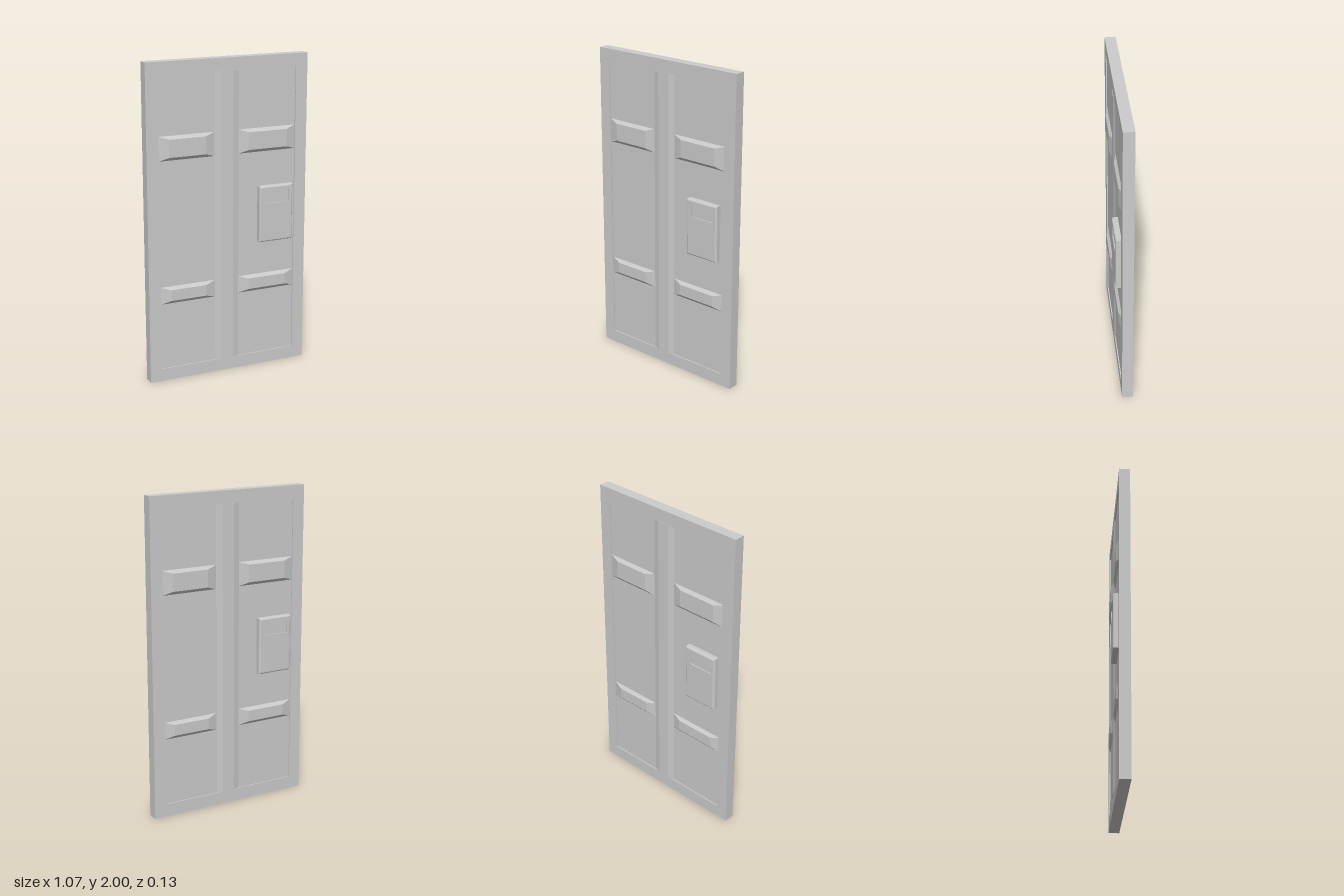
import * as THREE from 'three';

const material = new THREE.MeshStandardMaterial({ color: 0xcccccc });

// Skin through rectangles [x0, x1, y0, y1, z], capped at both ends, with flat faces.
function rectLoft(name, sections) {
  const corners = sections.map(([x0, x1, y0, y1, z]) => [
    [x0, y0, z], [x1, y0, z], [x1, y1, z], [x0, y1, z],
  ]);
  const pos = [];
  const quad = (a, b, c, d) => pos.push(...a, ...b, ...c, ...a, ...c, ...d);
  const first = corners[0];
  const last = corners[corners.length - 1];
  quad(first[3], first[2], first[1], first[0]);
  for (let s = 0; s < corners.length - 1; s++) {
    for (let i = 0; i < 4; i++) {
      const j = (i + 1) % 4;
      quad(corners[s][i], corners[s][j], corners[s + 1][j], corners[s + 1][i]);
    }
  }
  quad(last[0], last[1], last[2], last[3]);
  const geometry = new THREE.BufferGeometry();
  geometry.setAttribute('position', new THREE.Float32BufferAttribute(pos, 3));
  geometry.computeVertexNormals();
  const mesh = new THREE.Mesh(geometry, material);
  mesh.name = name;
  return mesh;
}

const FACE = 0.034;   // frame surface
const PANEL = 0.027;  // sunken panel surface

// Raised bar with sloped edges
function bar(name, x0, x1, y0, y1) {
  const dx = 0.063, dy = 0.02;
  return rectLoft(name, [
    [x0, x1, y0, y1, PANEL - 0.005],
    [x0, x1, y0, y1, PANEL],
    [x0 + dx, x1 - dx, y0 + dy, y1 - dy, 0.044],
  ]);
}

// Lock box with rounded front edges and a shallow window
function lockBox() {
  const [x0, x1, y0, y1, top, r] = [0.2, 0.43, 0.83, 1.19, 0.064, 0.011];
  const sections = [[x0, x1, y0, y1, PANEL - 0.005]];
  for (let i = 0; i <= 4; i++) {
    const a = (i / 4) * Math.PI / 2;
    const d = r * (1 - Math.cos(a));
    sections.push([x0 + d, x1 - d, y0 + d, y1 - d, top - r + r * Math.sin(a)]);
  }
  const hole = [0.235, 0.402, 1.08, 1.165];
  sections.push([...hole, top], [...hole, top - 0.007]);
  return rectLoft('lockBox', sections);
}

// Everything mounted on one face of the door
function doorSide(name) {
  const side = new THREE.Group();
  side.name = name;
  side.add(rectLoft('centreRidge', [
    [-0.09, 0.07, 0.08, 1.92, PANEL - 0.005],
    [-0.09, 0.07, 0.08, 1.92, PANEL],
    [-0.05, 0.03, 0.08, 1.92, 0.037],
  ]));
  for (const [level, y0, y1] of [['upper', 1.407, 1.557], ['lower', 0.505, 0.615]]) {
    side.add(bar(`${level}RightBar`, -0.455, -0.092, y0, y1));
    side.add(bar(`${level}LeftBar`, 0.07, 0.455, y0, y1));
  }
  side.add(lockBox());
  return side;
}

export function createModel() {
  const door = new THREE.Group();
  door.name = 'door';

  // Slab with a sunken panel on both faces
  const outer = [-0.533, 0.533, 0, 2];
  const inner = [-0.455, 0.455, 0.08, 1.92];
  door.add(rectLoft('doorSlab', [
    [...inner, -PANEL], [...inner, -FACE], [...outer, -FACE],
    [...outer, FACE], [...inner, FACE], [...inner, PANEL],
  ]));

  // The back is the front turned half way round
  const back = doorSide('backSide');
  back.rotation.y = Math.PI;
  door.add(doorSide('frontSide'), back);
  return door;
}
